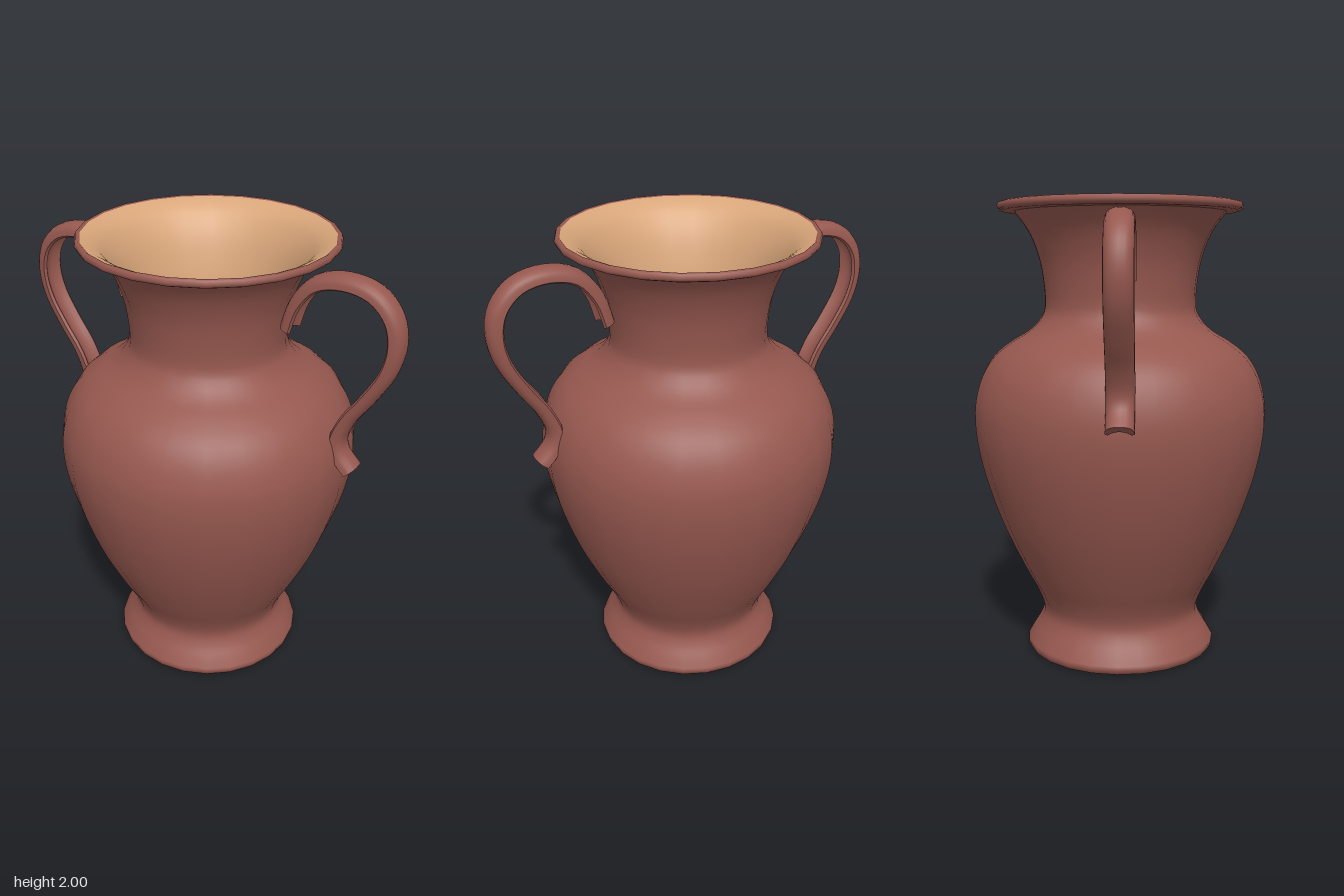
import * as THREE from 'three';
import { toCreasedNormals } from 'three/addons/utils/BufferGeometryUtils.js';

const SEGMENTS = 24;
const clay = new THREE.MeshStandardMaterial({ color: 0x96584f, side: THREE.DoubleSide });
const glaze = new THREE.MeshStandardMaterial({ color: 0xd9a67a, side: THREE.DoubleSide });

function turned(name, profile, material) {
  const points = profile.map(([r, y]) => new THREE.Vector2(r, y));
  const mesh = new THREE.Mesh(new THREE.LatheGeometry(points, SEGMENTS), material);
  mesh.name = name;
  return mesh;
}

// Smooth run of profile points through a few control points
function smoothRun(controls, count) {
  const curve = new THREE.SplineCurve(controls.map(([r, y]) => new THREE.Vector2(r, y)));
  return curve.getPoints(count).map(p => [p.x, p.y]);
}

// Strap handle: a crescent cross-section swept along a flat S-curve
function handleGeometry() {
  const path = new THREE.SplineCurve([
    [0.372, 1.675], [0.41, 1.79], [0.49, 1.885], [0.61, 1.915], [0.73, 1.89],
    [0.81, 1.81], [0.835, 1.70], [0.81, 1.58], [0.74, 1.455], [0.67, 1.35],
    [0.63, 1.25], [0.642, 1.175], [0.698, 1.11],
  ].map(([x, y]) => new THREE.Vector2(x, y)));

  // Section in (z, outward): rounded back, hollow inner face
  const section = [];
  for (let k = 0; k <= 10; k++) {
    const a = (k / 10) * Math.PI;
    const c = Math.cos(a);
    section.push(new THREE.Vector2(0.058 * Math.sign(c) * Math.abs(c) ** 0.8, -0.022 + 0.052 * Math.sin(a) ** 0.8));
  }
  for (let k = 0; k <= 6; k++) {
    const s = -1 + k / 3;
    section.push(new THREE.Vector2(0.046 * s, -0.03 + 0.026 * (1 - s * s)));
  }

  const steps = 48, n = section.length;
  const positions = [], index = [];
  for (let i = 0; i <= steps; i++) {
    const p = path.getPoint(i / steps);
    const t = path.getTangent(i / steps);
    for (const s of section) positions.push(p.x - t.y * s.y, p.y + t.x * s.y, s.x);
  }
  for (let i = 0; i < steps; i++) {
    for (let j = 0; j < n; j++) {
      const a = i * n + j, b = i * n + (j + 1) % n;
      index.push(a, a + n, b, b, a + n, b + n);
    }
  }
  // End caps
  for (const [a, b, c] of THREE.ShapeUtils.triangulateShape(section, [])) {
    const e = steps * n;
    index.push(a, b, c, e + a, e + c, e + b);
  }
  const geometry = new THREE.BufferGeometry();
  geometry.setAttribute('position', new THREE.Float32BufferAttribute(positions, 3));
  geometry.setIndex(index);
  return toCreasedNormals(geometry, 0.9);
}

export function createModel() {
  const group = new THREE.Group();
  group.name = 'vase';

  // Hollow underside, which is also the floor inside
  group.add(turned('base', [[0, 0.09], [0.16, 0.085], [0.24, 0.06], [0.32, 0.025], [0.38, 0.005], [0.4, 0]], clay));

  // Foot, belly, shoulder and neck
  group.add(turned('body', [
    [0.4, 0], [0.422, 0.008],
    ...smoothRun([
      [0.43, 0.03], [0.402, 0.08], [0.368, 0.135], [0.354, 0.19], [0.38, 0.27], [0.44, 0.385],
      [0.53, 0.58], [0.6, 0.78], [0.638, 0.94], [0.65, 1.06], [0.643, 1.16], [0.612, 1.26],
      [0.56, 1.34], [0.485, 1.4], [0.41, 1.445], [0.36, 1.495], [0.334, 1.56],
      [0.345, 1.7], [0.37, 1.8], [0.408, 1.885], [0.465, 1.962],
    ], 64),
  ], clay));

  // Flat lip around the mouth
  group.add(turned('rim', [
    [0.46, 1.96], [0.515, 1.962], [0.533, 1.97], [0.538, 1.982], [0.533, 1.995], [0.522, 2], [0.515, 1.995],
  ], clay));

  // Pale glazed inside of the neck
  group.add(turned('neckLining', smoothRun([
    [0.515, 1.995], [0.47, 1.975], [0.425, 1.935], [0.375, 1.85], [0.337, 1.73], [0.315, 1.62], [0.305, 1.54], [0.335, 1.49],
  ], 20), glaze));

  // Pair of handles
  const geometry = handleGeometry();
  for (const [name, turn, z] of [['leftHandle', 0, -0.004], ['rightHandle', Math.PI, 0.02]]) {
    const handle = new THREE.Mesh(geometry, clay);
    handle.name = name;
    handle.rotation.y = turn;
    handle.position.z = z;
    group.add(handle);
  }
  return group;
}
